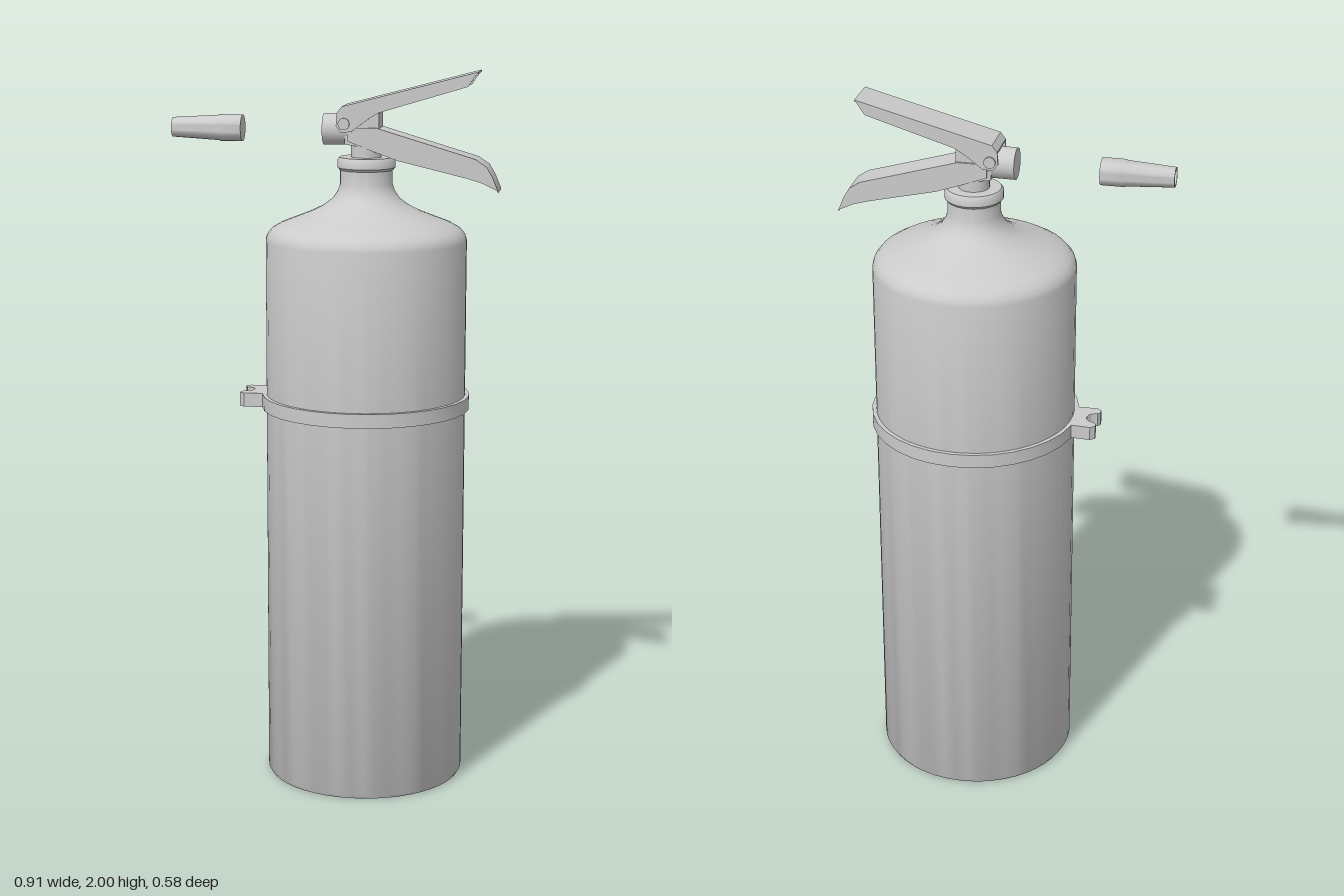
import * as THREE from 'three';
import { toCreasedNormals } from 'three/addons/utils/BufferGeometryUtils.js';

const AXIS = 0.085; // x of the bottle's axis
const mat = new THREE.MeshStandardMaterial({ color: 0xcccccc, side: THREE.DoubleSide });
const vecs = (pts) => pts.map(([x, y]) => new THREE.Vector2(x, y));

function add(parent, name, geometry, x = 0, y = 0, z = 0) {
  const mesh = new THREE.Mesh(geometry, mat);
  mesh.name = name;
  mesh.position.set(x, y, z);
  parent.add(mesh);
  return mesh;
}

function lathe(profile, sides) {
  return toCreasedNormals(new THREE.LatheGeometry(vecs(profile), sides), 0.7);
}

// Flat outline in x/y, thickened along z between z0 and z1
function slab(outline, z0, z1) {
  const g = new THREE.ExtrudeGeometry(new THREE.Shape(vecs(outline)), {
    depth: z1 - z0, bevelEnabled: false,
  });
  return toCreasedNormals(g.translate(0, 0, z0), 0.5);
}

// Pressed sheet lever: a top sheet along `top`, two side walls, open below
function lever(name, top, under, halfWidth) {
  const group = new THREE.Group();
  group.name = name;
  const t = 0.005;
  const lower = top.map(([x, y]) => [x, y - t]).reverse();
  add(group, name + 'Top', slab([...top, ...lower], -halfWidth, halfWidth));
  for (const [side, z] of [['Left', halfWidth - t], ['Right', -halfWidth]]) {
    add(group, name + side + 'Wall', slab([...top, ...under], z, z + t));
  }
  return group;
}

export function createModel() {
  const root = new THREE.Group();
  root.name = 'fireExtinguisher';

  // Bottle with domed shoulder and neck
  add(root, 'bottle', lathe([
    [0, 0], [0.272, 0], [0.278, 0.01], [0.278, 1.535], [0.274, 1.55], [0.262, 1.565],
    [0.24, 1.578], [0.21, 1.59], [0.156, 1.611], [0.118, 1.63], [0.092, 1.65],
    [0.079, 1.67], [0.072, 1.69], [0.072, 1.74], [0, 1.74],
  ], 48), AXIS);

  // Neck collar and valve stem
  add(root, 'collar', lathe([
    [0, 1.728], [0.074, 1.728], [0.08, 1.735], [0.08, 1.755], [0.074, 1.763], [0, 1.763],
  ], 32), AXIS);
  add(root, 'valveStem', new THREE.CylinderGeometry(0.042, 0.042, 0.07, 24), AXIS, 1.79);

  // Valve block and its outlet
  add(root, 'valveBlock', slab([
    [0.03, 1.8], [0.125, 1.785], [0.125, 1.885], [0.1, 1.895], [0.03, 1.88],
  ], -0.04, 0.04));
  add(root, 'valveOutlet', new THREE.CylinderGeometry(0.043, 0.043, 0.075, 24), 0.005, 1.838)
    .rotation.z = Math.PI / 2;

  // Squeeze levers
  root.add(lever('upperLever',
    [[0.01, 1.885], [0.024, 1.903], [0.395, 2.0]],
    [[0.368, 1.96], [0.125, 1.887], [0.1, 1.872], [0.05, 1.835], [0.022, 1.832], [0.008, 1.85]],
    0.052));
  root.add(lever('lowerLever',
    [[0.04, 1.845], [0.12, 1.845], [0.39, 1.765], [0.42, 1.745], [0.436, 1.718], [0.452, 1.68]],
    [[0.41, 1.7], [0.37, 1.712], [0.18, 1.757], [0.12, 1.778], [0.04, 1.808]],
    0.045));

  // Pivot pin with a head on each side
  add(root, 'pivotPin', new THREE.CylinderGeometry(0.016, 0.016, 0.115, 16), 0.03, 1.856)
    .rotation.x = Math.PI / 2;

  // Band around the bottle
  add(root, 'band', lathe([
    [0.277, 1.063], [0.29, 1.063], [0.29, 1.102], [0.277, 1.102], [0.277, 1.063],
  ], 32), AXIS);

  // Forked clip on the band
  const clip = new THREE.Shape(vecs([
    [-0.18, 0.062], [-0.2, 0.056], [-0.252, 0.058], [-0.265, 0.048], [-0.265, 0.036], [-0.255, 0.026],
  ]));
  clip.absarc(-0.258, 0, 0.026, Math.PI / 2, -Math.PI / 2, true);
  for (const [x, z] of [[-0.265, -0.036], [-0.265, -0.048], [-0.252, -0.058], [-0.2, -0.056], [-0.18, -0.062]]) {
    clip.lineTo(x, z);
  }
  const clipGeo = new THREE.ExtrudeGeometry(clip, { depth: 0.039, bevelEnabled: false, curveSegments: 10 });
  add(root, 'hoseClip', toCreasedNormals(clipGeo.rotateX(-Math.PI / 2), 0.5), 0, 1.063);

  // Separate discharge nozzle, hollow at its narrow end
  add(root, 'nozzle', lathe([
    [0, 0], [0.037, 0], [0.037, 0.062], [0.035, 0.066], [0.027, 0.197],
    [0.021, 0.197], [0.021, 0.1], [0, 0.1],
  ], 24), -0.26, 1.837).rotation.z = Math.PI / 2;

  return root;
}
